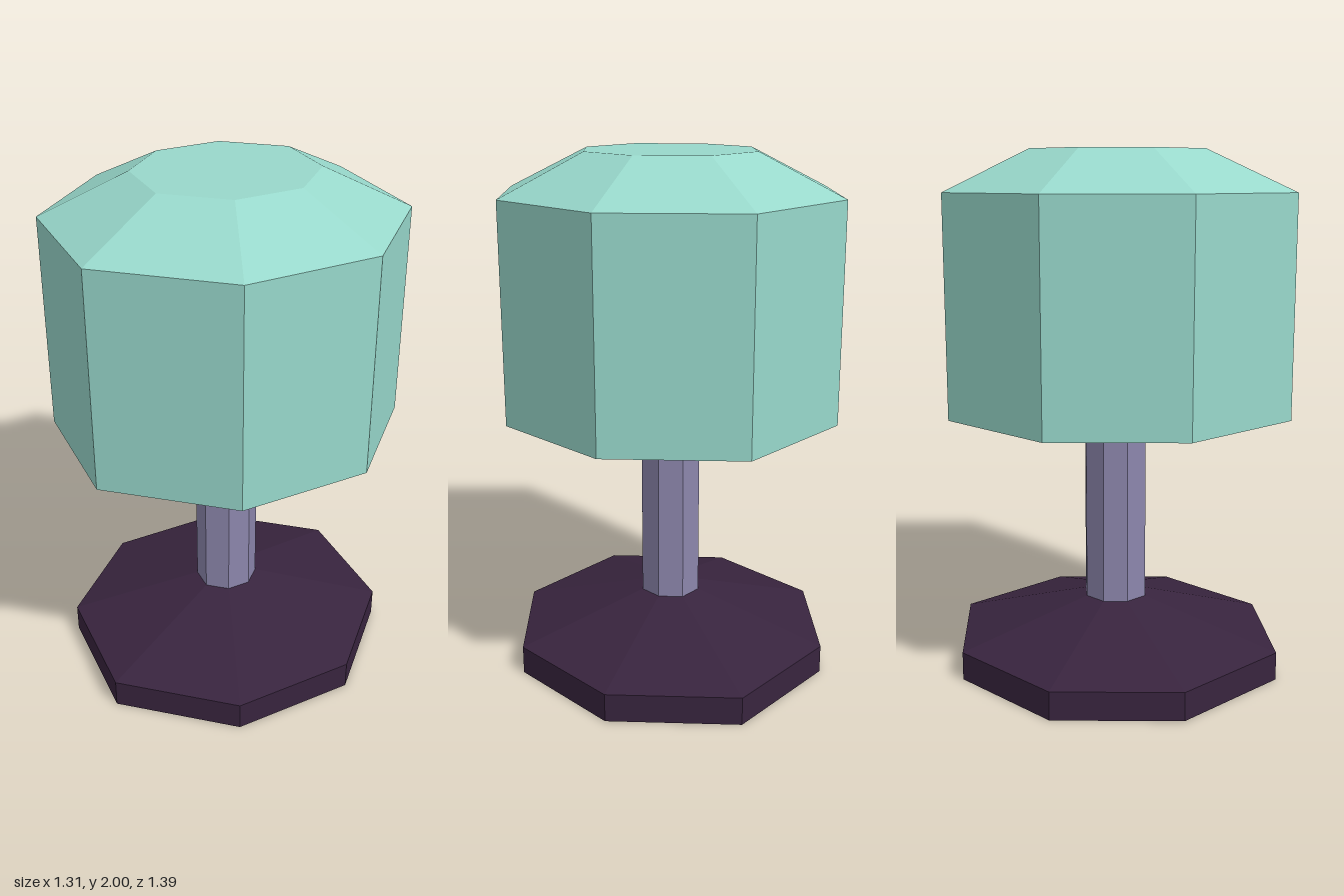
import * as THREE from 'three';

const mat = (name, color) => {
  const m = new THREE.MeshStandardMaterial({ color, flatShading: true });
  m.name = name;
  return m;
};

// Eight-sided turned part, slightly narrowed on the x axis and stretched on the z axis
function turned(name, profile, material) {
  const geo = new THREE.LatheGeometry(profile.map(([r, y]) => new THREE.Vector2(r, y)), 8);
  const p = geo.attributes.position;
  for (let i = 0; i < p.count; i++) {
    const x = p.getX(i), z = p.getZ(i);
    if (Math.abs(z) < 1e-4) p.setX(i, x * 0.985);
    if (Math.abs(x) < 1e-4) p.setZ(i, z * 1.048);
  }
  const flat = geo.toNonIndexed();
  flat.computeVertexNormals();
  const mesh = new THREE.Mesh(flat, material);
  mesh.name = name;
  return mesh;
}

export function createModel() {
  const shadeMat = mat('mint', 0x98d8cb);
  const innerMat = mat('pale grey', 0xadb6bd);
  const postMat = mat('lavender grey', 0x8c86ac);
  const baseMat = mat('dark plum', 0x38243e);

  const group = new THREE.Group();
  group.name = 'lamp';
  group.add(
    // Foot with a low sloping top
    turned('base', [[0, 0], [0.637, 0], [0.637, 0.11], [0.122, 0.265], [0, 0.265]], baseMat),
    // Upright between foot and shade
    turned('post', [[0.122, 0.26], [0.122, 1.13]], postMat),
    // Shade with bevelled crown
    turned('shade', [[0.664, 1.025], [0.664, 1.845], [0.337, 2], [0, 2]], shadeMat),
    // Shallow recessed underside of the shade
    turned('shadeUnderside', [[0, 1.11], [0.122, 1.11], [0.664, 1.025]], innerMat),
  );
  return group;
}
